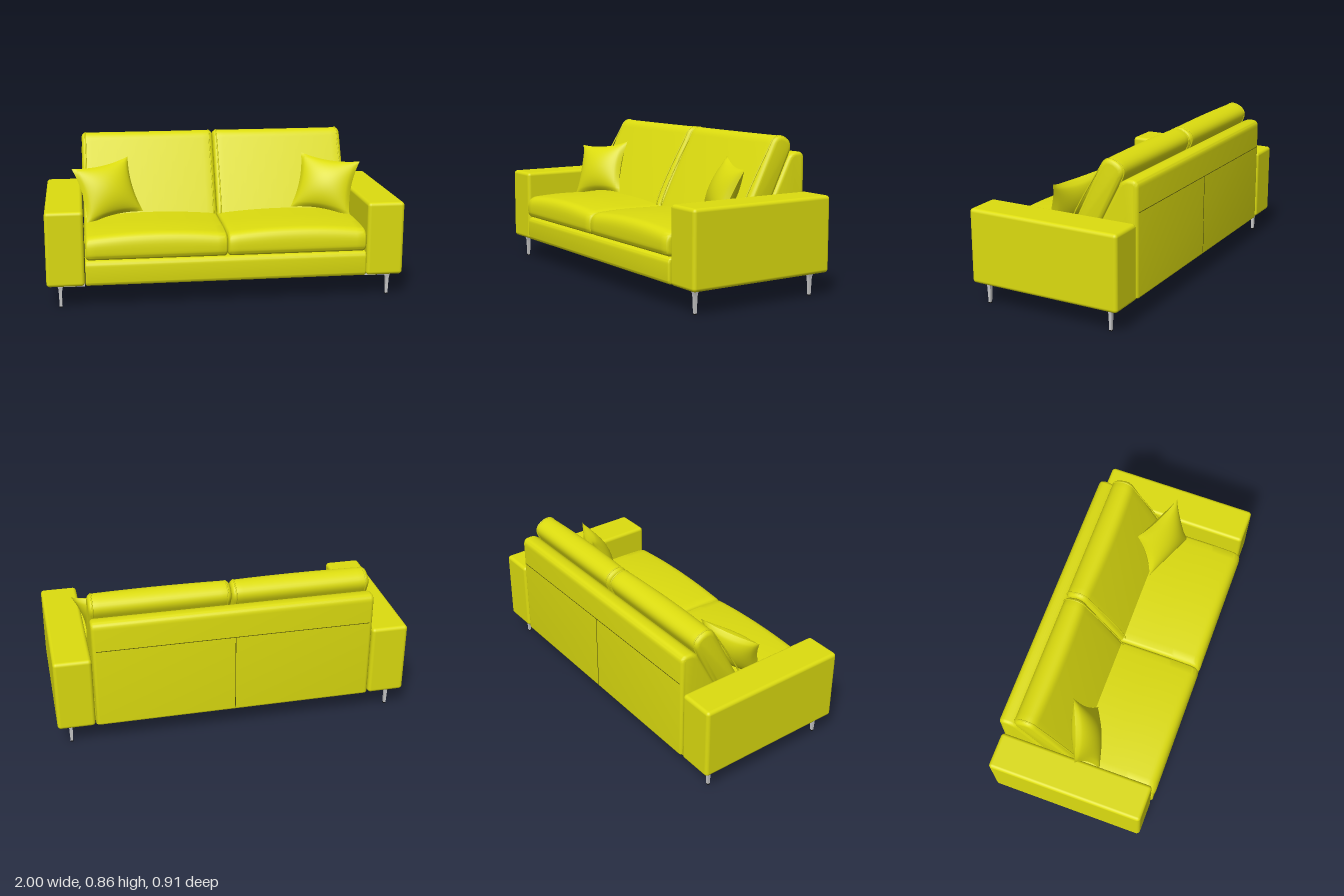
import * as THREE from 'three';
import { toCreasedNormals } from 'three/addons/utils/BufferGeometryUtils.js';
import { RoundedBoxGeometry } from 'three/addons/geometries/RoundedBoxGeometry.js';

const fabric = new THREE.MeshStandardMaterial({ color: 0xdcdc0f });
fabric.name = 'yellow fabric';
const metal = new THREE.MeshStandardMaterial({ color: 0xc8c8c8 });
metal.name = 'pale metal';
const black = new THREE.MeshStandardMaterial({ color: 0x111111 });
black.name = 'black plastic';
const thread = new THREE.MeshStandardMaterial({ color: 0x55550a });
thread.name = 'dark seam';

function add(parent, name, geometry, material, x = 0, y = 0, z = 0) {
  const mesh = new THREE.Mesh(geometry, material);
  mesh.name = name;
  mesh.position.set(x, y, z);
  parent.add(mesh);
  return mesh;
}

// Side profile from [z, y, cornerRadius] points; shape x is -z.
function sideShape(points) {
  const pts = points.map(([z, y]) => new THREE.Vector2(-z, y));
  const shape = new THREE.Shape();
  pts.forEach((p, i) => {
    const r = points[i][2] || 0;
    const toward = (q) => q.clone().sub(p).setLength(r).add(p);
    const a = toward(pts[(i + pts.length - 1) % pts.length]);
    const b = toward(pts[(i + 1) % pts.length]);
    if (i === 0) shape.moveTo(a.x, a.y);
    else shape.lineTo(a.x, a.y);
    if (r) shape.quadraticCurveTo(p.x, p.y, b.x, b.y);
  });
  shape.closePath();
  return shape;
}

// Upholstered block: profile swept along x with soft ends; puff(p, u) shapes it.
function upholstery(points, width, bevel, puff) {
  const g = new THREE.ExtrudeGeometry(sideShape(points), {
    depth: width - 2 * bevel, steps: puff ? 20 : 1, curveSegments: 8,
    bevelEnabled: true, bevelThickness: bevel, bevelSize: bevel, bevelOffset: -bevel, bevelSegments: 4,
  });
  g.translate(0, 0, bevel - width / 2);
  g.rotateY(Math.PI / 2);
  if (puff) {
    const pos = g.attributes.position;
    const p = new THREE.Vector3();
    for (let i = 0; i < pos.count; i++) {
      p.fromBufferAttribute(pos, i);
      puff(p, Math.max(0, 1 - (2 * p.x / width) ** 2));
      pos.setXYZ(i, p.x, p.y, p.z);
    }
  }
  return toCreasedNormals(g, 0.7);
}

// One puffed face of a throw pillow, with pinched edges and pointed corners.
function pillowFace() {
  const g = new THREE.PlaneGeometry(2, 2, 24, 24);
  const pos = g.attributes.position;
  for (let i = 0; i < pos.count; i++) {
    const s = pos.getX(i), t = pos.getY(i);
    const a = Math.max(0, 1 - s * s), b = Math.max(0, 1 - t * t);
    pos.setXYZ(i, 0.178 * s * (1 - 0.13 * b), 0.168 * t * (1 - 0.13 * a), 0.068 * Math.pow(a * b, 0.6));
  }
  g.computeVertexNormals();
  return g;
}

// Metal corner leg: plate with two arms and a tapered post.
function cornerLeg() {
  const leg = new THREE.Group();
  const s = new THREE.Shape();
  s.moveTo(0, 0);
  s.lineTo(-0.15, 0);
  s.lineTo(-0.15, 0.02);
  s.quadraticCurveTo(-0.045, 0.045, -0.02, 0.15);
  s.lineTo(0, 0.15);
  s.closePath();
  const plate = new THREE.ExtrudeGeometry(s, { depth: 0.012, bevelEnabled: false });
  plate.rotateX(-Math.PI / 2);
  add(leg, 'legPlate', plate, metal, 0, 0.118, 0);
  const post = new THREE.BoxGeometry(0.022, 0.118, 0.022, 1, 8, 1);
  const pos = post.attributes.position;
  for (let i = 0; i < pos.count; i++) {
    const h = pos.getY(i) / 0.118 + 0.5;
    const k = 0.62 + 0.32 * h + 0.35 * Math.pow(h, 12);
    pos.setX(i, pos.getX(i) * k);
    pos.setZ(i, pos.getZ(i) * k);
  }
  add(leg, 'legPost', toCreasedNormals(post, 0.6), metal, -0.014, 0.061, -0.014);
  add(leg, 'legGlide', new THREE.BoxGeometry(0.016, 0.005, 0.016), black, -0.014, 0.0025, -0.014);
  return leg;
}

export function createModel() {
  const sofa = new THREE.Group();
  sofa.name = 'sofa';

  // Base and back frame
  add(sofa, 'base', upholstery([
    [0.447, 0.13, 0.03], [0.447, 0.273, 0.035], [-0.44, 0.273], [-0.44, 0.13],
  ], 1.574, 0.01), fabric);
  add(sofa, 'backFrame', upholstery([
    [-0.2, 0.132], [-0.2, 0.46], [-0.25, 0.55, 0.02], [-0.362, 0.768, 0.045], [-0.455, 0.768, 0.04], [-0.455, 0.132, 0.01],
  ], 1.57, 0.02), fabric);

  // Seams across the back
  add(sofa, 'backSeam', new THREE.BoxGeometry(1.53, 0.003, 0.003), thread, 0, 0.6, -0.455);
  add(sofa, 'backCentreSeam', new THREE.BoxGeometry(0.003, 0.455, 0.003), thread, 0, 0.372, -0.455);

  // Cushion profiles
  const seat = [
    [0.457, 0.274, 0.045], [0.457, 0.4, 0.065], [0.25, 0.41, 0.08], [-0.2, 0.4], [-0.2, 0.274],
  ];
  const back = [
    [-0.02, 0.39], [-0.2625, 0.88, 0.067], [-0.385, 0.822, 0.067], [-0.17, 0.39],
  ];
  const outline = sideShape(back).getPoints(6).map((p) => new THREE.Vector3(0, p.y, -p.x));
  outline.pop();
  const pipe = new THREE.CatmullRomCurve3(outline, true, 'centripetal');

  for (const side of [1, -1]) {
    const label = side > 0 ? 'left' : 'right';
    add(sofa, label + 'Arm', new RoundedBoxGeometry(0.21, 0.42, 0.895, 4, 0.02), fabric, side * 0.895, 0.34, -0.0075);

    add(sofa, label + 'SeatCushion', upholstery(seat, 0.782, 0.02, (p, u) => {
      const h = THREE.MathUtils.smoothstep(p.y, 0.3, 0.4);
      p.y += 0.022 * u * h;
    }), fabric, side * 0.392);

    add(sofa, label + 'BackCushion', upholstery(back, 0.782, 0.025, (p, u) => {
      // Only the front surface swells
      const front = THREE.MathUtils.smoothstep(p.z + (p.y - 0.39) * 0.49, -0.1, -0.02);
      p.z += 0.012 * u * front;
    }), fabric, side * 0.392);
    for (const end of [1, -1]) {
      add(sofa, label + 'BackCushionPiping', new THREE.TubeGeometry(pipe, 80, 0.004, 6, true), fabric,
        side * 0.392 + end * 0.369);
    }

    // Throw pillow leaning into the corner
    const pillow = new THREE.Group();
    pillow.name = label + 'Pillow';
    const across = new THREE.Vector3(0.92, -0.11 * side, 0.37 * side).normalize();
    const normal = new THREE.Vector3(-0.3 * side, 0.387, 0.865);
    const up = normal.clone().cross(across).normalize();
    normal.crossVectors(across, up);
    pillow.quaternion.setFromRotationMatrix(new THREE.Matrix4().makeBasis(across, up, normal));
    pillow.position.set(side * 0.643, 0.568, -0.003);
    add(pillow, 'pillowFront', pillowFace(), fabric);
    add(pillow, 'pillowBack', pillowFace(), fabric).rotation.y = Math.PI;
    sofa.add(pillow);

    // Small pads under the base
    for (const z of [0.37, -0.37]) {
      add(sofa, 'basePad', new THREE.CylinderGeometry(0.018, 0.018, 0.01, 16), black, side * 0.7, 0.126, z);
    }
  }

  // Corner legs, each a quarter turn from the last
  [[1, 1], [1, -1], [-1, -1], [-1, 1]].forEach(([x, z], k) => {
    const leg = cornerLeg();
    leg.name = (z > 0 ? 'front' : 'back') + (x > 0 ? 'Left' : 'Right') + 'Leg';
    leg.position.set(x * 0.94, 0, z * 0.394);
    leg.rotation.y = k * Math.PI / 2;
    sofa.add(leg);
  });

  // Centre support
  add(sofa, 'centreLeg', new THREE.CylinderGeometry(0.025, 0.014, 0.132, 24), black, 0, 0.066, -0.022);
  return sofa;
}
